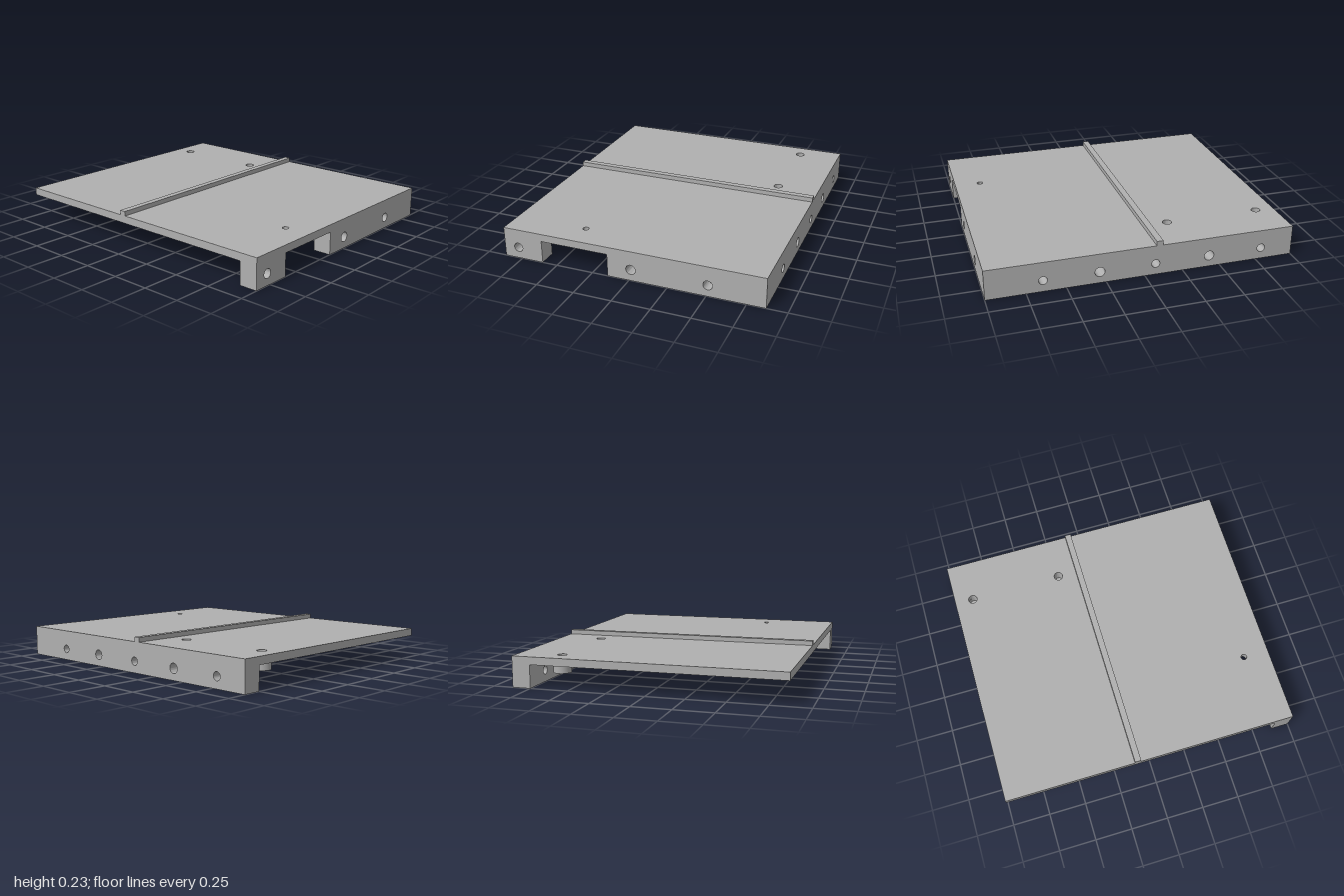
import * as THREE from 'three';
import { toCreasedNormals } from 'three/addons/utils/BufferGeometryUtils.js';

const grey = new THREE.MeshStandardMaterial({ color: 0xb0b0b0 });
grey.name = 'grey';

const HALF_X = 0.87, PLATE_BOTTOM = 0.15, PLATE_TOP = 0.2, WALL = 0.12, HOLE_Y = 0.075;

function part(name, geometry, x = 0, y = 0, z = 0) {
  const mesh = new THREE.Mesh(geometry, grey);
  mesh.name = name;
  mesh.position.set(x, y, z);
  return mesh;
}

// Rectangular slab with round holes given as [u, v, radius]
function slab(u0, u1, v0, v1, depth, holes) {
  const shape = new THREE.Shape();
  shape.moveTo(u0, v0).lineTo(u1, v0).lineTo(u1, v1).lineTo(u0, v1).closePath();
  for (const [u, v, r] of holes) {
    shape.holes.push(new THREE.Path().absarc(u, v, r, 0, Math.PI * 2, true));
  }
  const geometry = new THREE.ExtrudeGeometry(shape, { depth, bevelEnabled: false, curveSegments: 32 });
  return toCreasedNormals(geometry, 0.6);
}

export function createModel() {
  const model = new THREE.Group();
  model.name = 'mountingPlate';

  // Top plate with one through hole and two openings into the sockets
  const sockets = [[0.585, -0.875], [0.585, -0.245]];
  const plate = slab(-HALF_X, HALF_X, -1, 1, PLATE_TOP - PLATE_BOTTOM, [
    [-0.375, -0.825, 0.02],
    ...sockets.map(([x, z]) => [x, -z, 0.03]),
  ]).rotateX(-Math.PI / 2);
  model.add(part('plate', plate, 0, PLATE_BOTTOM, 0));

  // Raised rib across the plate
  model.add(part('rib', new THREE.BoxGeometry(HALF_X * 2, 0.03, 0.042), 0, PLATE_TOP + 0.015, -0.095));

  // Side wall with five through holes
  const sideHoles = [[0.645, 0.027], [0.29, 0.032], [-0.07, 0.027], [-0.427, 0.032], [-0.785, 0.027]]
    .map(([z, r]) => [-z, HOLE_Y, r]);
  const side = slab(-1, 1, 0, PLATE_BOTTOM, WALL, sideHoles).rotateY(Math.PI / 2);
  model.add(part('sideWall', side, HALF_X - WALL, 0, 0));

  // Front wall and separate front block
  const frontZ = 1 - WALL;
  model.add(part('frontWall', slab(-0.145, HALF_X - WALL, 0, PLATE_BOTTOM, WALL,
    [[0.012, HOLE_Y, 0.032], [0.51, HOLE_Y, 0.03]]), 0, 0, frontZ));
  model.add(part('frontBlock', slab(-HALF_X, -0.602, 0, PLATE_BOTTOM, WALL,
    [[-0.772, HOLE_Y, 0.03]]), 0, 0, frontZ));

  // Plugs that close the two blind front holes
  for (const x of [-0.772, 0.51]) {
    const plug = new THREE.CylinderGeometry(0.03, 0.03, 0.04, 32).rotateX(Math.PI / 2);
    model.add(part('holeFloor', plug, x, HOLE_Y, frontZ + 0.02));
  }

  // Round sockets hanging below the plate, hollow from above
  const profile = [[0, 0.09], [0.058, 0.09], [0.058, 0.15], [0.03, 0.15], [0.03, 0.11], [0, 0.11]]
    .map(([r, y]) => new THREE.Vector2(r, y));
  for (const [x, z] of sockets) {
    const socket = toCreasedNormals(new THREE.LatheGeometry(profile, 32), 0.6);
    model.add(part('socket', socket, x, 0, z));
  }

  return model;
}
